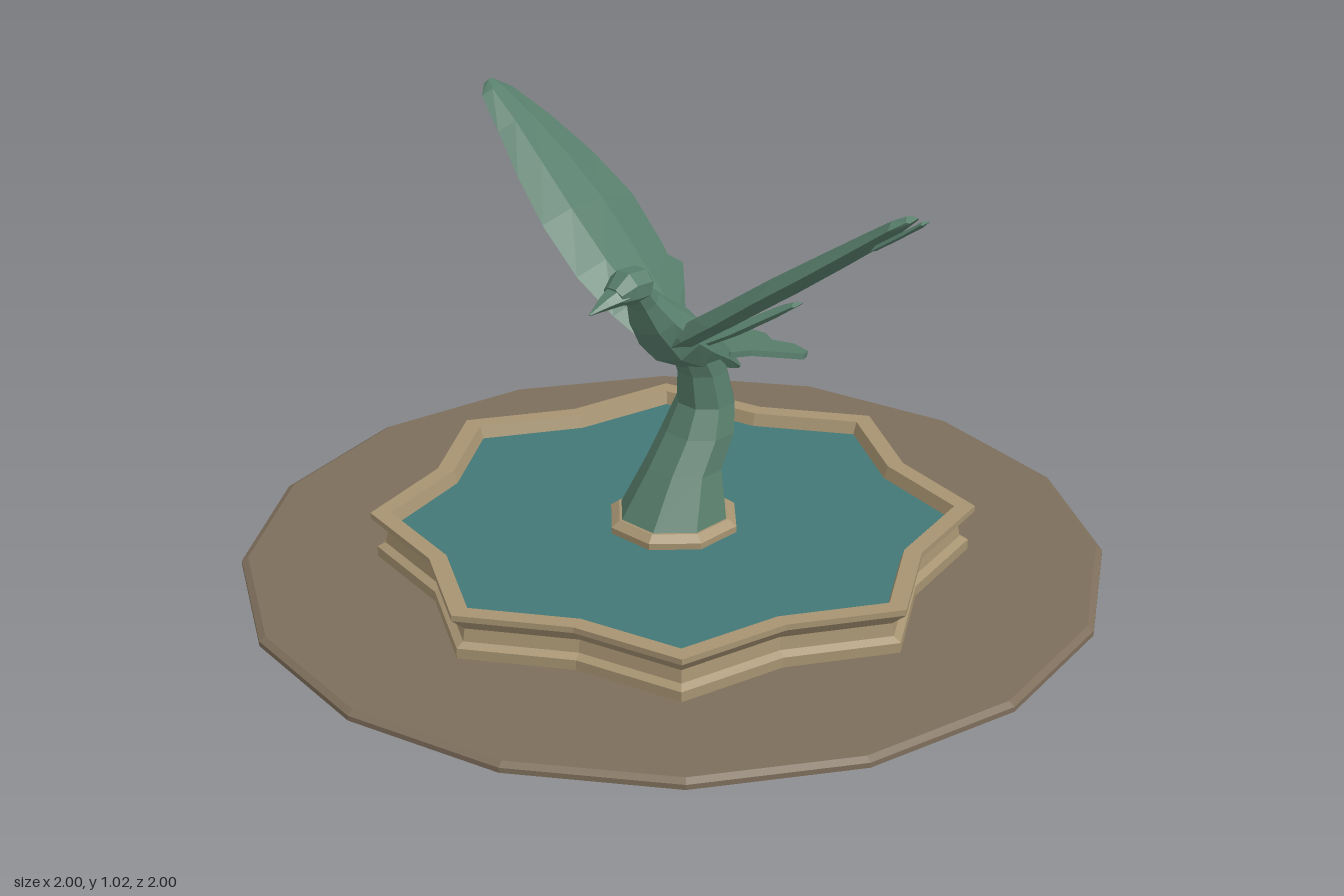
import * as THREE from 'three';

const mat = (name, color) => {
  const m = new THREE.MeshStandardMaterial({ color });
  m.name = name;
  return m;
};

// Faceted skin over a list of rings (counter-clockwise about the direction of travel)
function loft(rings, { capStart = true, capEnd = true } = {}) {
  const pos = [];
  const tri = (...pts) => pts.forEach(p => pos.push(p.x, p.y, p.z));
  const n = rings[0].length;
  const cap = (ring, flip) => {
    const c = new THREE.Vector3();
    ring.forEach(p => c.addScaledVector(p, 1 / n));
    ring.forEach((p, i) => {
      const q = ring[(i + 1) % n];
      flip ? tri(c, q, p) : tri(c, p, q);
    });
  };
  for (let j = 0; j < rings.length - 1; j++) {
    for (let i = 0; i < n; i++) {
      const k = (i + 1) % n;
      const a = rings[j][i], b = rings[j][k], c = rings[j + 1][k], d = rings[j + 1][i];
      tri(a, b, c);
      tri(a, c, d);
    }
  }
  if (capStart) cap(rings[0], true);
  if (capEnd) cap(rings[rings.length - 1], false);
  const g = new THREE.BufferGeometry();
  g.setAttribute('position', new THREE.Float32BufferAttribute(pos, 3));
  g.computeVertexNormals();
  return g;
}

// Horizontal polygon or star ring; "notch" scales every second corner
function polygon(n, r, y, notch = 1, turn = 0) {
  return Array.from({ length: n }, (_, i) => {
    const a = (i / n) * Math.PI * 2 + turn, k = i % 2 ? r * notch : r;
    return new THREE.Vector3(k * Math.cos(a), y, -k * Math.sin(a));
  });
}

// Rings along a path in the x = 0 plane; rows are [z, y, half width, half depth]
function pathRings(rows, sides, turn = 0, upright = false) {
  return rows.map(([z, y, rx, rt], j) => {
    const p = rows[Math.max(j - 1, 0)], q = rows[Math.min(j + 1, rows.length - 1)];
    const len = Math.hypot(q[0] - p[0], q[1] - p[1]);
    const dz = upright ? 0 : (q[0] - p[0]) / len, dy = upright ? 1 : (q[1] - p[1]) / len;
    return Array.from({ length: sides }, (_, i) => {
      const a = (i / sides) * Math.PI * 2 + turn, s = Math.sin(a) * rt;
      return new THREE.Vector3(rx * Math.cos(a), y + dz * s, z - dy * s);
    });
  });
}

// Wing-like blade; rows are [x, y, front z, back z, half thickness]
const SECTION = [[0.6, 0.8], [0.25, 1], [0, -0.3], [0.25, -0.9], [0.6, -0.7], [1, -0.5]];
function blade(rows, side) {
  const rings = rows.map(([x, y, front, back, t]) => {
    const ring = SECTION.map(([c, h]) => new THREE.Vector3(
      side * (x - 0.58 * h * t), y + 0.81 * h * t, front + (back - front) * c));
    return side < 0 ? ring.reverse() : ring;
  });
  return loft(rings);
}

export function createModel() {
  const root = new THREE.Group();
  const paving = mat('brown paving', 0x7d6e5b);
  const stone = mat('tan stone', 0xa69371);
  const water = mat('teal water', 0x417775);
  const bronze = mat('green bronze', 0x577d6b);
  const add = (name, geometry, material, parent = root) => {
    const mesh = new THREE.Mesh(geometry, material);
    mesh.name = name;
    parent.add(mesh);
    return mesh;
  };

  // Paved disc
  add('pavedGround', loft([[1, 0], [1, 0.012], [0.985, 0.021]].map(([r, y]) => polygon(16, r, y))), paving);

  // Eight-pointed basin with moulded wall
  const wall = [[0.685, 0.02], [0.685, 0.045], [0.665, 0.055], [0.66, 0.085],
    [0.698, 0.118], [0.698, 0.132], [0.65, 0.132], [0.635, 0.09]];
  add('basinWall', loft(wall.map(([r, y]) => polygon(16, r, y, 0.857)),
    { capStart: false, capEnd: false }), stone);
  add('waterSurface', loft([polygon(16, 0.64, 0.102, 0.857)], { capStart: false }), water);

  // Octagonal plinth and bent pedestal
  const plinth = [[0.155, 0.09], [0.155, 0.117], [0.135, 0.132]];
  add('plinth', loft(plinth.map(([r, y]) => polygon(8, r, y, 1, Math.PI / 8))), stone);
  const pedestal = [[0, 0.13, 0.13, 0.13], [-0.035, 0.24, 0.095, 0.085], [-0.085, 0.315, 0.088, 0.08],
    [-0.108, 0.38, 0.072, 0.068], [-0.095, 0.46, 0.06, 0.06], [-0.06, 0.53, 0.055, 0.055]];
  add('pedestal', loft(pathRings(pedestal, 8, Math.PI / 8, true)), bronze);

  // Bird
  const bird = new THREE.Group();
  bird.name = 'bird';
  root.add(bird);
  const body = [[-0.21, 0.43, 0.015, 0.008], [-0.14, 0.48, 0.045, 0.034], [-0.06, 0.53, 0.072, 0.056],
    [0.01, 0.58, 0.092, 0.07], [0.065, 0.64, 0.066, 0.052], [0.098, 0.69, 0.042, 0.035],
    [0.125, 0.73, 0.035, 0.03]];
  add('body', loft(pathRings(body, 8)), bronze, bird);
  const head = [[0.085, 0.725, 0.02, 0.02], [0.11, 0.732, 0.044, 0.04], [0.155, 0.735, 0.045, 0.042],
    [0.19, 0.725, 0.03, 0.022]];
  add('head', loft(pathRings(head, 8, Math.PI / 8)), bronze, bird);
  add('beak', loft(pathRings([[0.175, 0.725, 0.035, 0.025], [0.22, 0.716, 0.02, 0.015],
    [0.265, 0.703, 0.002, 0.002]], 6)), bronze, bird);

  // Notched tail fan
  const half = [[0.045, 0], [0.05, 0.07], [0.115, 0.18], [0.1, 0.21], [0.045, 0.226]];
  const outline = [...half, [0, 0.195], ...half.map(([x, y]) => [-x, y]).reverse()];
  const tail = new THREE.ExtrudeGeometry(
    new THREE.Shape(outline.map(([x, y]) => new THREE.Vector2(x, y))), { depth: 0.014, bevelEnabled: false });
  tail.rotateX(-Math.PI / 2 - 0.22);
  tail.translate(0, 0.483, -0.14);
  add('tail', tail, bronze, bird);

  // Raised wings with inner and tip feathers
  const wing = [[0.03, 0.57, 0.06, -0.09, 0.028], [0.1, 0.62, 0.085, -0.145, 0.028],
    [0.2, 0.69, 0.1, -0.185, 0.028], [0.32, 0.78, 0.09, -0.205, 0.026], [0.43, 0.86, 0.06, -0.185, 0.023],
    [0.53, 0.935, 0.025, -0.145, 0.018], [0.61, 0.995, 0, -0.1, 0.013], [0.635, 1.012, -0.03, -0.07, 0.009]];
  const innerFeather = [[0.05, 0.555, 0, -0.09, 0.012], [0.12, 0.595, -0.05, -0.17, 0.014],
    [0.18, 0.635, -0.11, -0.225, 0.012], [0.22, 0.66, -0.15, -0.19, 0.006]];
  const tipFeather = [[0.55, 0.925, -0.02, -0.1, 0.006], [0.62, 0.975, -0.035, -0.105, 0.006],
    [0.655, 1.003, -0.055, -0.085, 0.004]];
  for (const [label, side] of [['left', 1], ['right', -1]]) {
    add(label + 'Wing', blade(wing, side), bronze, bird);
    add(label + 'InnerFeather', blade(innerFeather, side), bronze, bird);
    add(label + 'TipFeather', blade(tipFeather, side), bronze, bird);
  }
  return root;
}
